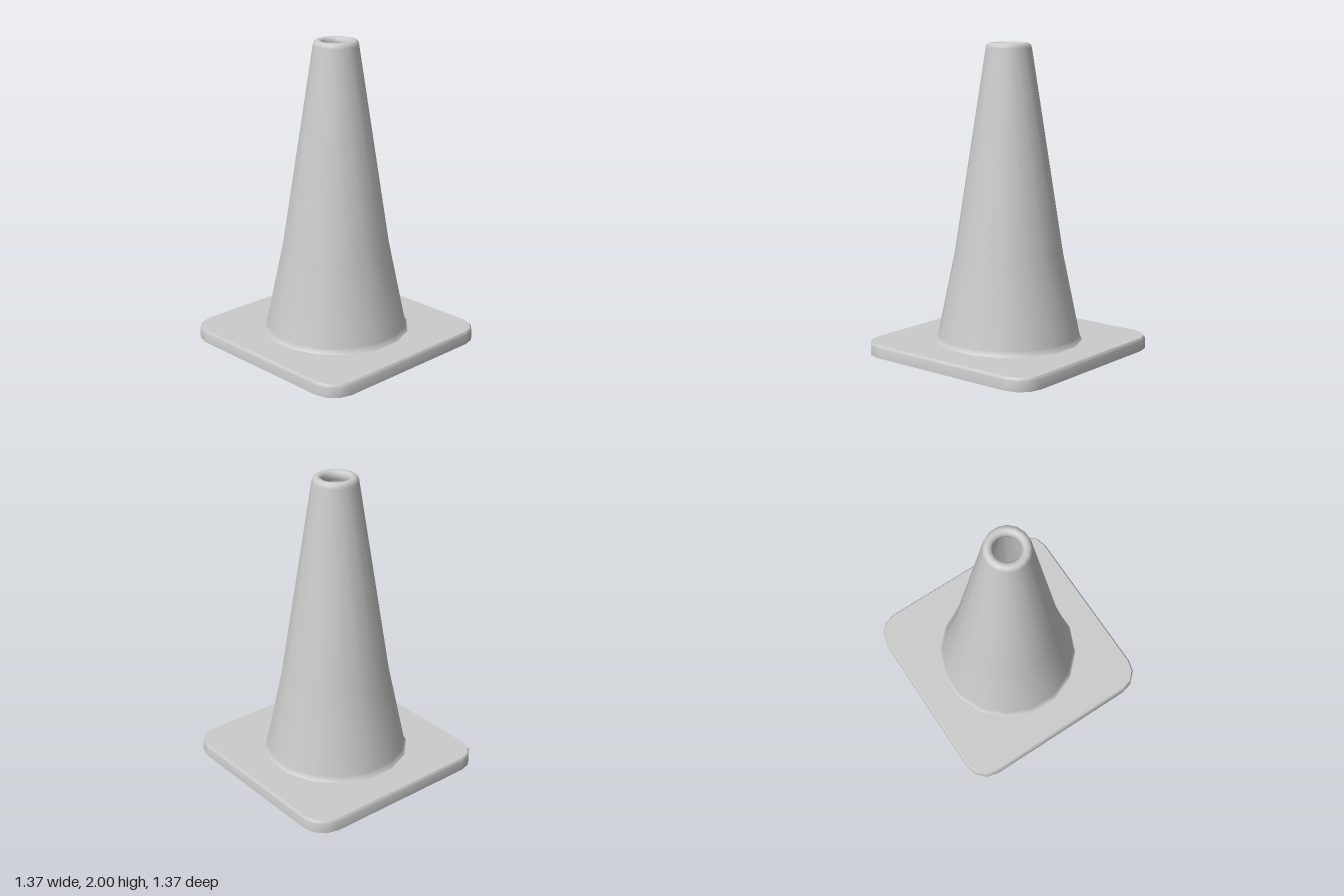
import * as THREE from 'three';
import { toCreasedNormals } from 'three/addons/utils/BufferGeometryUtils.js';

const SIDES = 16;

// Rounded square outline, four points per corner
function squareRing(half, radius, y) {
  const ring = [];
  for (let corner = 0; corner < 4; corner++) {
    const mid = Math.PI / 4 + corner * Math.PI / 2;
    const reach = (half - radius) * Math.SQRT2;
    for (let i = 0; i < 4; i++) {
      const a = corner * Math.PI / 2 + i * Math.PI / 6;
      ring.push([Math.cos(mid) * reach + Math.cos(a) * radius, y, Math.sin(mid) * reach + Math.sin(a) * radius]);
    }
  }
  return ring;
}

// Sixteen-sided outline matching the foot of the cone
function roundRing(radius, y) {
  return Array.from({ length: SIDES }, (_, i) => {
    const a = (i + 0.5) * Math.PI * 2 / SIDES;
    return [Math.cos(a) * radius, y, Math.sin(a) * radius];
  });
}

// Skin a stack of rings with equal point counts
function loft(rings) {
  const n = rings[0].length, index = [];
  for (let r = 0; r < rings.length - 1; r++) {
    for (let j = 0; j < n; j++) {
      const a = r * n + j, b = r * n + (j + 1) % n;
      index.push(a, a + n, b, b, a + n, b + n);
    }
  }
  const geo = new THREE.BufferGeometry();
  geo.setAttribute('position', new THREE.Float32BufferAttribute(rings.flat(2), 3));
  geo.setIndex(index);
  return toCreasedNormals(geo, 0.6);
}

export function createModel() {
  const model = new THREE.Group();
  model.name = 'trafficCone';
  const material = new THREE.MeshStandardMaterial({ color: 0xcccccc, side: THREE.DoubleSide });

  // Base plate: a shell open underneath, with a hole for the cone
  const base = new THREE.Mesh(loft([
    squareRing(0.683, 0.155, 0),
    squareRing(0.683, 0.155, 0.07),
    squareRing(0.673, 0.145, 0.085),
    roundRing(0.48, 0.085),
  ]), material);
  base.name = 'basePlate';

  // Hollow cone: up the outer wall, over the rounded lip, down the inner wall
  const profile = [
    [0.48, 0.085], [0.468, 0.1], [0.462, 0.12], [0.352, 0.65], [0.147, 1.965],
    [0.142, 1.985], [0.13, 1.996], [0.115, 2], [0.1, 1.996], [0.089, 1.985], [0.085, 1.965],
    [0.089, 1.94], [0.105, 1.92], [0.305, 0.65], [0.415, 0.1], [0.43, 0],
  ].map(([r, y]) => new THREE.Vector2(r, y));
  const cone = new THREE.Mesh(new THREE.LatheGeometry(profile, SIDES, Math.PI / SIDES), material);
  cone.name = 'coneBody';

  model.add(base, cone);
  return model;
}
